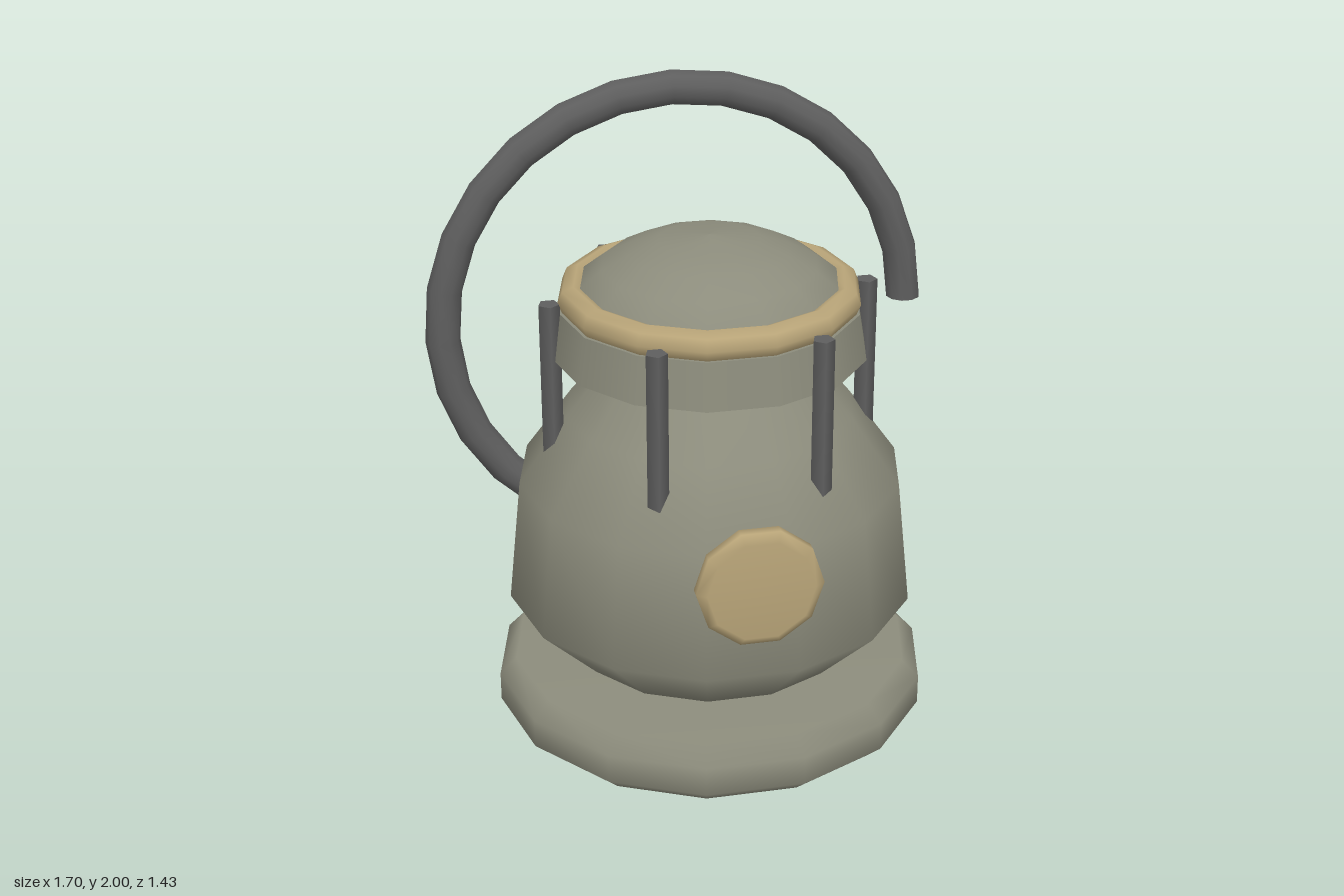
import * as THREE from 'three';

const olive = new THREE.MeshStandardMaterial({ name: 'olive grey', color: 0x8c8c7c });
const tan = new THREE.MeshStandardMaterial({ name: 'tan', color: 0xb8a478 });
const dark = new THREE.MeshStandardMaterial({ name: 'dark grey', color: 0x5e5e5e });

const SIDES = 14;
const AXIS_Z = -0.025; // the round parts sit slightly behind the centre

export function createModel() {
  const model = new THREE.Group();
  model.name = 'vessel';
  const barrel = new THREE.Group();
  barrel.name = 'barrel';
  barrel.position.z = AXIS_Z;
  model.add(barrel);

  const add = (parent, name, geometry, material) => {
    const mesh = new THREE.Mesh(geometry, material);
    mesh.name = name;
    parent.add(mesh);
    return mesh;
  };
  // turned profile of [radius, height], with a corner on the x axis
  const turn = (profile, sides = SIDES) => new THREE.LatheGeometry(
    profile.map(([r, y]) => new THREE.Vector2(r, y)), sides, Math.PI / 2);

  // bevelled foot plate
  add(barrel, 'base', turn([
    [0, 0], [0.65, 0], [0.705, 0.05], [0.705, 0.145], [0.65, 0.2], [0, 0.2],
  ]), olive);

  // body, floating just above the base and tapering into the collar
  add(barrel, 'body', turn([
    [0, 0.237], [0.463, 0.237], [0.66, 0.435], [0.617, 0.84],
    [0.46, 1.06], [0.29, 1.27], [0.25, 1.31],
  ]), olive);

  // collar under the rim
  const collar = new THREE.CylinderGeometry(0.475, 0.5, 0.15, SIDES).rotateY(Math.PI / 2);
  add(barrel, 'collar', collar, olive).position.y = 1.337;

  // rim ring and domed lid
  const rim = new THREE.TorusGeometry(0.427, 0.051, 8, SIDES).rotateX(-Math.PI / 2);
  add(barrel, 'rim', rim, tan).position.y = 1.444;
  add(barrel, 'lid', turn([
    [0.44, 1.42], [0.405, 1.49], [0.34, 1.54], [0.255, 1.585], [0.16, 1.618], [0, 1.634],
  ]), olive);

  // six struts between collar and shoulder
  for (let i = 0; i < 6; i++) {
    const a = (i * Math.PI) / 3;
    const strut = add(barrel, 'strut', new THREE.CylinderGeometry(0.035, 0.035, 0.54, 5), dark);
    strut.position.set(0.505 * Math.cos(a), 1.175, 0.505 * Math.sin(a));
  }

  // round front plate
  add(model, 'frontPlate', turn([
    [0, 0.645], [0.165, 0.645], [0.195, 0.667], [0.195, 0.7], [0.165, 0.72], [0, 0.72],
  ], 10).rotateX(Math.PI / 2), tan).position.y = 0.787;

  // curved hose behind the body, closed at both ends
  const R = 0.79, r = 0.058, sweep = Math.PI * 1.3;
  const hose = new THREE.Group();
  hose.name = 'hose';
  hose.position.set(0, 1.152, -0.558);
  add(hose, 'hoseTube', new THREE.TorusGeometry(R, r, 10, 18, sweep), dark);
  for (const [angle, turnX] of [[0, Math.PI / 2], [sweep, -Math.PI / 2]]) {
    const cap = new THREE.CircleGeometry(r, 10).rotateX(turnX).translate(R, 0, 0).rotateZ(angle);
    add(hose, 'hoseEnd', cap, dark);
  }
  model.add(hose);

  return model;
}
